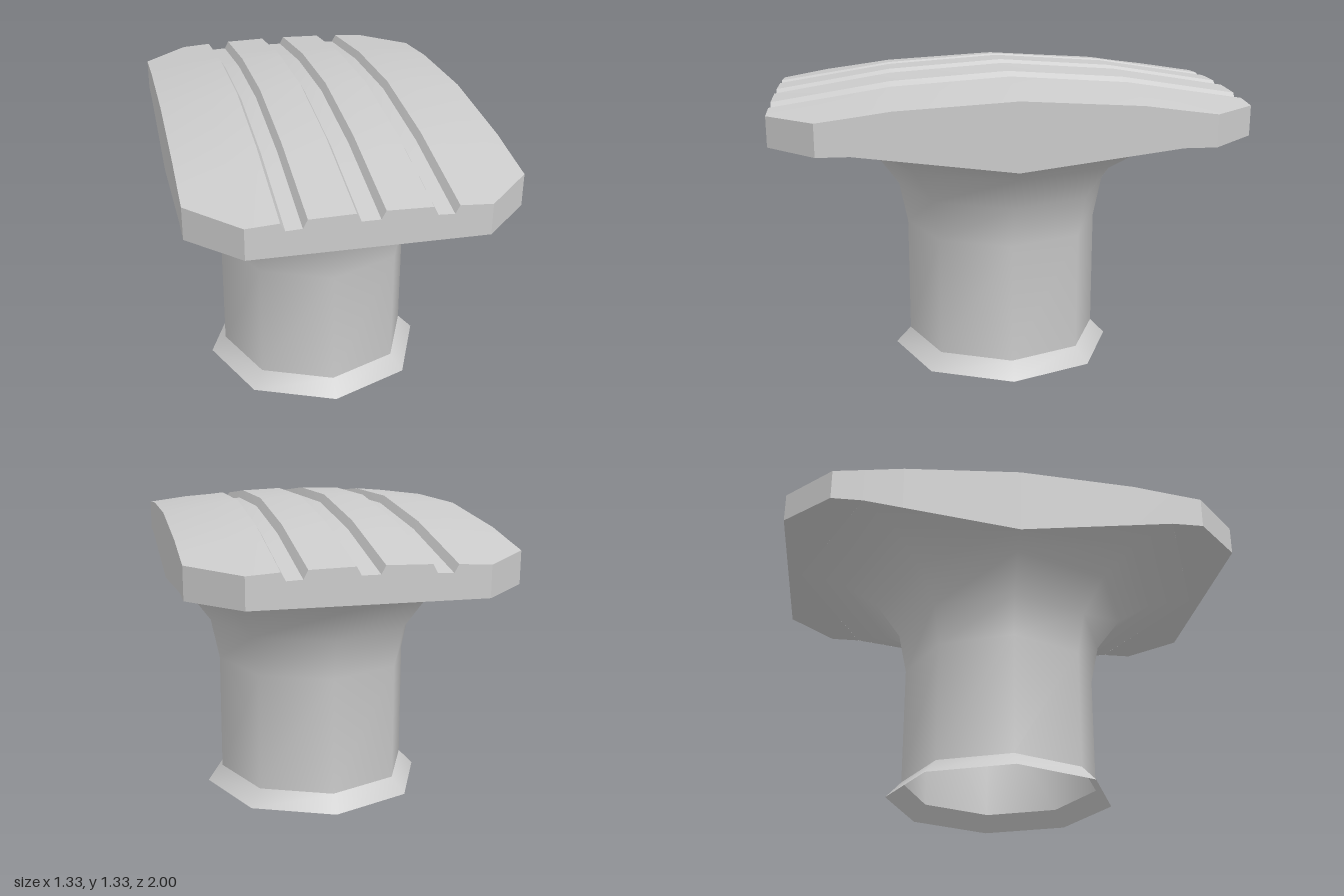
import * as THREE from 'three';
import { toCreasedNormals } from 'three/addons/utils/BufferGeometryUtils.js';

const W = 0.665, CHAMFER_X = 0.465, UNDER = 1.07, FLARE_Z = 0.665;

// Skin a list of equal-length rows of [x, y, z] points
function skin(rows, crease) {
  const n = rows[0].length, index = [];
  for (let i = 0; i < rows.length - 1; i++) {
    for (let j = 0; j < n - 1; j++) {
      const a = i * n + j, c = a + n;
      index.push(a, c, a + 1, a + 1, c, c + 1);
    }
  }
  const geo = new THREE.BufferGeometry();
  geo.setAttribute('position', new THREE.Float32BufferAttribute(rows.flat(2), 3));
  geo.setIndex(index);
  return toCreasedNormals(geo, crease);
}

// Eight-sided ring with corners on the axes
function ring(r, y) {
  return Array.from({ length: 9 }, (_, k) => {
    const a = (k % 8) * Math.PI / 4;
    const x = r * Math.cos(a), z = r * Math.sin(a);
    // the flare is cut off where it meets the long sides of the head
    return Math.abs(x) > W + 0.005 ? [Math.sign(x) * W, 0.985, 0] : [x, y, z];
  });
}

// Crowned height of the head, highest in the middle
function crown(x, z) {
  const t = Math.abs(z);
  const ridge = t < 0.5 ? 1.332 - 0.07 * t : 1.297 - 0.164 * (t - 0.5);
  return ridge - 0.13 * x * x * (1 - 0.4 * t * t);
}

export function createModel() {
  const group = new THREE.Group();
  const material = new THREE.MeshStandardMaterial({ color: 0xcccccc, side: THREE.DoubleSide });
  const add = (name, geo) => {
    const mesh = new THREE.Mesh(geo, material);
    mesh.name = name;
    group.add(mesh);
    return mesh;
  };

  // Open foot flange and stem with its flared neck
  add('footFlange', skin([ring(0.5, 0), ring(0.433, 0.07)], 0.9));
  const profile = [[0.433, 0.07], [0.433, 0.6], [0.47, 0.78], [0.58, 0.93], [0.75, 1.035], [0.94, UNDER]];
  add('stem', skin(profile.map(([r, y]) => ring(r, y)), 0.9));

  // Columns across the head: [x, depth below the crown], with three grooves
  const columns = [[-W, 0], [-CHAMFER_X, 0]];
  for (const [l, r] of [[-0.335, -0.235], [-0.055, 0.055], [0.235, 0.335]]) {
    columns.push([l, 0], [l + 0.018, 0.034], [r - 0.018, 0.034], [r, 0]);
  }
  columns.push([CHAMFER_X, 0], [W, 0]);

  // Grooved top, with its corners cut at 45 degrees
  const stations = [-1, -FLARE_Z, -0.5, 0, 0.5, FLARE_Z, 1];
  const top = stations.map(s => columns.map(([x, depth]) => {
    const limit = 1 - Math.max(0, Math.abs(x) - CHAMFER_X);
    const z = Math.sign(s) * Math.min(Math.abs(s), limit);
    return [x, crown(x, z) - depth, z];
  }));
  add('groovedTop', skin(top, 0.4));

  // Rim wall, dipping along the sides to meet the flare
  const last = columns.length - 1;
  const rim = [
    ...top.map(row => row[last]),
    ...[...top[top.length - 1]].reverse().slice(1),
    ...[...top].reverse().slice(1).map(row => row[0]),
    ...top[0].slice(1),
  ];
  const lower = rim.map(([x, , z]) => {
    const dip = Math.abs(x) > W - 0.001 ? Math.max(0, 1 - Math.abs(z) / FLARE_Z) : 0;
    return [x, UNDER - 0.085 * dip, z];
  });
  add('rimWall', skin([lower, rim], 0.4));

  // Flat underside at each end, outside the flare
  const end = new THREE.Shape([
    [0, 0.94], [W, FLARE_Z], [W, 0.8], [CHAMFER_X, 1],
    [-CHAMFER_X, 1], [-W, 0.8], [-W, FLARE_Z],
  ].map(([x, z]) => new THREE.Vector2(x, z)));
  for (const [name, turn] of [['frontUnderside', 0], ['backUnderside', Math.PI]]) {
    const geo = new THREE.ShapeGeometry(end).rotateX(Math.PI / 2).rotateY(turn);
    add(name, geo).position.y = UNDER;
  }
  return group;
}
